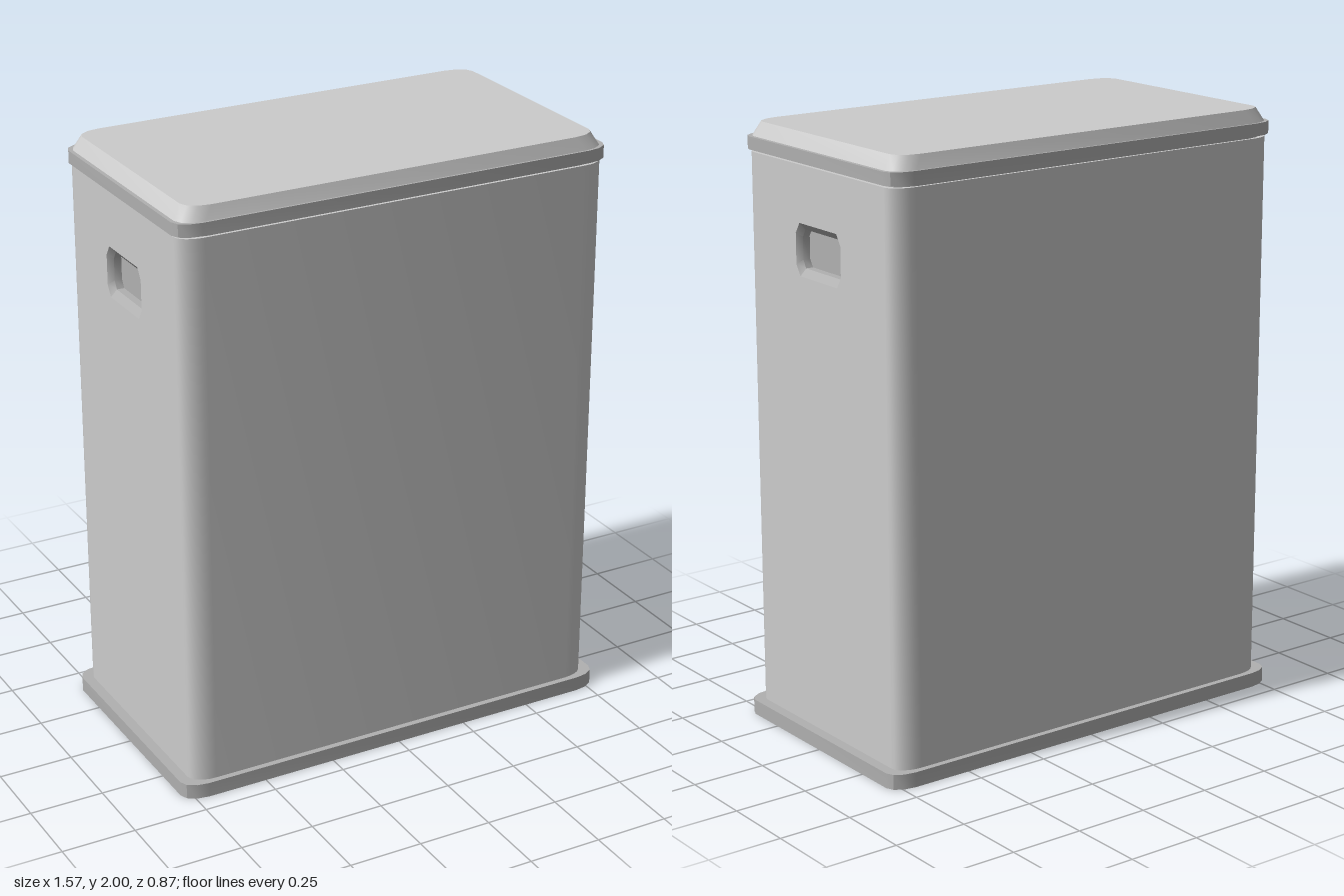
import * as THREE from 'three';
import { toCreasedNormals } from 'three/addons/utils/BufferGeometryUtils.js';

const lightGrey = new THREE.MeshStandardMaterial({ color: 0xcccccc });
lightGrey.name = 'light grey';
const midGrey = new THREE.MeshStandardMaterial({ color: 0xb0b0b0 });
midGrey.name = 'mid grey';

// Rectangle with elliptical corners at height y, starting at the +x side
function outline(hx, hz, y, segments = 3, rx = 0.08, rz = 0.05) {
  const points = [];
  [[1, 1], [-1, 1], [-1, -1], [1, -1]].forEach(([sx, sz], corner) => {
    for (let i = 0; i <= segments; i++) {
      const a = (corner + i / segments) * Math.PI / 2;
      points.push(new THREE.Vector3(
        sx * (hx - rx) + rx * Math.cos(a), y, sz * (hz - rz) + rz * Math.sin(a)));
    }
  });
  return points;
}

// Skin between stacked outlines, with optional caps; skip leaves out chosen wall panels
function loft(rings, { bottom = false, top = false, skip = () => false } = {}) {
  const n = rings[0].length, position = [];
  const tri = (...corners) => corners.forEach((p) => position.push(p.x, p.y, p.z));
  for (let r = 0; r < rings.length - 1; r++) {
    for (let i = 0; i < n; i++) {
      if (skip(i)) continue;
      const j = (i + 1) % n, lo = rings[r], hi = rings[r + 1];
      tri(lo[i], hi[i], hi[j]);
      tri(lo[i], hi[j], lo[j]);
    }
  }
  const last = rings[rings.length - 1];
  for (let i = 1; i < n - 1; i++) {
    if (bottom) tri(rings[0][0], rings[0][i], rings[0][i + 1]);
    if (top) tri(last[0], last[i + 1], last[i]);
  }
  const geometry = new THREE.BufferGeometry();
  geometry.setAttribute('position', new THREE.Float32BufferAttribute(position, 3));
  return toCreasedNormals(geometry, 0.55);
}

// Octagonal handle outline, centred on its own origin
function octagon(hw, hh, cx, cy) {
  return [[hw, hh - cy], [hw - cx, hh], [cx - hw, hh], [-hw, hh - cy],
    [-hw, cy - hh], [cx - hw, -hh], [hw - cx, -hh], [hw, cy - hh]]
    .map(([x, y]) => new THREE.Vector2(x, y));
}

export function createModel() {
  const model = new THREE.Group();
  model.name = 'storageBin';
  const add = (name, geometry, material, parent = model) => {
    const mesh = new THREE.Mesh(geometry, material);
    mesh.name = name;
    parent.add(mesh);
    return mesh;
  };

  // Base plinth
  add('base', loft([outline(0.785, 0.435, 0), outline(0.785, 0.435, 0.05)],
    { bottom: true, top: true }), midGrey);

  // Body walls, leaving the two end panels open for the handles
  const seg = 6, bodyX = 0.75, bodyZ = 0.415, y0 = 0.05, y1 = 1.905;
  const perCorner = seg + 1;
  const endPanels = [perCorner * 2 - 1, perCorner * 4 - 1];
  add('body', loft([outline(bodyX, bodyZ, y0, seg), outline(bodyX, bodyZ, y1, seg)],
    { top: true, skip: (i) => endPanels.includes(i) }), lightGrey);

  // End panels with recessed handles, mirrored by a half turn
  const handleY = 1.635, panelZ = bodyZ - 0.05;
  const mouth = octagon(0.125, 0.085, 0.022, 0.035);
  const floor = octagon(0.115, 0.062, 0.015, 0.025);
  const ring = (points, depth) => points.map((p) => new THREE.Vector3(p.x, p.y, -depth));
  for (const side of [1, -1]) {
    const end = new THREE.Group();
    end.name = side > 0 ? 'leftEnd' : 'rightEnd';
    end.position.set(side * bodyX, handleY, 0);
    end.rotation.y = side * Math.PI / 2;
    const panel = new THREE.Shape([
      new THREE.Vector2(-panelZ, y0 - handleY), new THREE.Vector2(panelZ, y0 - handleY),
      new THREE.Vector2(panelZ, y1 - handleY), new THREE.Vector2(-panelZ, y1 - handleY)]);
    panel.holes.push(new THREE.Path(mouth));
    add('endPanel', new THREE.ShapeGeometry(panel), lightGrey, end);
    // Recess walls and floor face outwards through the mouth
    add('handleRecess', loft([ring(mouth, 0), ring(floor, 0.02), ring(floor, 0.045)],
      { top: true }), midGrey, end);
    model.add(end);
  }

  // Narrow neck between body and lid
  add('neck', loft([outline(0.735, 0.405, 1.9), outline(0.735, 0.405, 1.92)]), midGrey);

  // Lid rim
  add('lidRim', loft([outline(0.76, 0.422, 1.913), outline(0.76, 0.422, 1.955)],
    { bottom: true, top: true }), midGrey);

  // Bevelled lid
  add('lid', loft([outline(0.747, 0.415, 1.955), outline(0.72, 0.402, 2)],
    { top: true }), lightGrey);

  // Recess skins and outlines share one winding; correct any facing inward
  model.traverse((part) => {
    if (part.name === 'handleRecess') part.material = recessMaterial;
  });
  return model;
}

// Recess is an open surface, so it shows from both sides
const recessMaterial = midGrey.clone();
recessMaterial.name = 'mid grey recess';
recessMaterial.side = THREE.DoubleSide;
